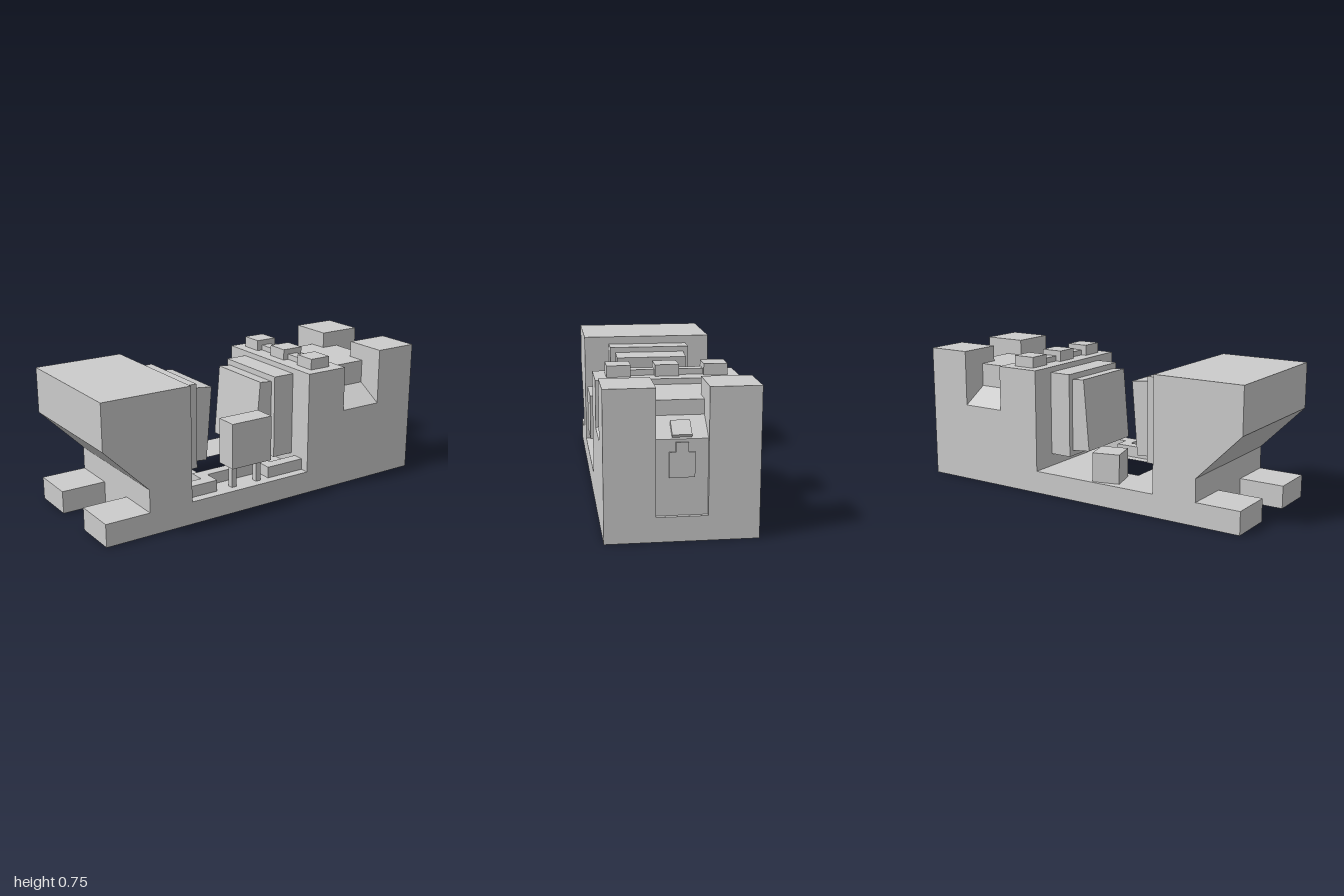
import * as THREE from 'three';

const material = new THREE.MeshStandardMaterial({ color: 0xcccccc, flatShading: true });

export function createModel() {
  const model = new THREE.Group();

  const add = (name, geometry) => {
    const mesh = new THREE.Mesh(geometry, material);
    mesh.name = name;
    model.add(mesh);
    return mesh;
  };

  const outline = (points) => new THREE.Shape(points.map(([a, b]) => new THREE.Vector2(a, b)));
  const extrude = (shape, depth) => new THREE.ExtrudeGeometry(shape, { depth, bevelEnabled: false });

  // box given by its extents
  const box = (name, x0, x1, y0, y1, z0, z1) => {
    const mesh = add(name, new THREE.BoxGeometry(x1 - x0, y1 - y0, z1 - z0));
    mesh.position.set((x0 + x1) / 2, (y0 + y1) / 2, (z0 + z1) / 2);
    return mesh;
  };

  // (x, y) profile extruded along z
  const profile = (name, points, z0, z1) =>
    add(name, extrude(outline(points), z1 - z0).translate(0, 0, z0));

  // (x, z) plan extruded upwards
  const slab = (name, points, y0, y1, hole) => {
    const flip = (list) => list.map(([x, z]) => [x, -z]);
    const shape = outline(flip(points));
    if (hole) shape.holes.push(outline(flip(hole)));
    return add(name, extrude(shape, y1 - y0).rotateX(-Math.PI / 2).translate(0, y0, 0));
  };

  // (z, y) section extruded along x
  const section = (name, points, x0, x1) =>
    add(name, extrude(outline(points.map(([z, y]) => [-z, y])), x1 - x0)
      .rotateY(Math.PI / 2).translate(x0, 0, 0));

  // floor slab with end notch and well
  slab('floor', [
    [-1, -0.375], [1, -0.375], [1, 0.375], [-1, 0.375],
    [-1, 0.125], [-0.75, 0.125], [-0.75, -0.125], [-1, -0.125],
  ], 0, 0.125, [[-0.26, -0.13], [0, -0.13], [0, 0.12], [-0.26, 0.12]]);

  // overhanging tower
  profile('overhangTower', [
    [-0.75, 0.125], [-0.5, 0.125], [-0.5, 0.75], [-1, 0.75], [-1, 0.5], [-0.75, 0.25],
  ], -0.375, 0.375);

  // stepped and leaning wall panels
  box('towerPanel', -0.5, -0.378, 0.24, 0.705, -0.235, 0.23);
  profile('towerLeaningPanel', [
    [-0.38, 0.268], [-0.3, 0.26], [-0.265, 0.663], [-0.38, 0.675],
  ], -0.205, 0.2);
  box('wallPanel', 0.125, 0.25, 0.195, 0.66, -0.235, 0.23);
  profile('wallLeaningPanel', [
    [0.015, 0.236], [0.125, 0.226], [0.125, 0.628], [0.05, 0.635],
  ], -0.205, 0.2);

  // wall with roof bar and three roof blocks
  box('wall', 0.25, 0.5, 0.125, 0.69, -0.375, 0.375);
  box('roofBar', 0.342, 0.4, 0.69, 0.72, -0.25, 0.25);
  for (const z of [-0.254, 0, 0.25]) {
    box('roofBlock', 0.31, 0.435, 0.69, 0.75, z - 0.0625, z + 0.0625);
  }

  // middle bay with sloping side recesses
  section('recessedBay', [
    [-0.375, 0.125], [0.375, 0.125], [0.375, 0.44], [0.23, 0.53],
    [0.23, 0.66], [-0.23, 0.66], [-0.23, 0.53], [-0.375, 0.44],
  ], 0.5, 0.75);

  // end pillars and the sunken panel between them
  for (const side of [-1, 1]) {
    box('endPillar', 0.75, 1, 0.125, 0.75, side < 0 ? -0.375 : 0.125, side < 0 ? -0.125 : 0.375);
  }
  profile('endPanel', [
    [0.75, 0.125], [0.98, 0.125], [0.98, 0.5], [0.855, 0.585], [0.855, 0.66], [0.75, 0.66],
  ], -0.125, 0.125);

  // plaque on the slope and stepped plate below it
  const plaque = add('slopePlaque', new THREE.BoxGeometry(0.094, 0.02, 0.095));
  plaque.position.set(0.937, 0.539, 0);
  plaque.rotation.z = -Math.atan2(0.085, 0.125);
  section('steppedPlate', [
    [-0.061, 0.315], [0.062, 0.315], [0.062, 0.438], [0.031, 0.438],
    [0.031, 0.485], [-0.03, 0.485], [-0.03, 0.438], [-0.061, 0.438],
  ], 0.978, 0.99);

  // low kerb bending around the front console
  slab('kerb', [
    [-0.5, 0.325], [-0.315, 0.325], [-0.315, 0.23], [0.018, 0.23], [0.018, 0.325], [0.25, 0.325],
    [0.25, 0.26], [0.075, 0.26], [0.075, 0.172], [-0.375, 0.172], [-0.375, 0.26], [-0.5, 0.26],
  ], 0.125, 0.188);

  // raised console on two legs
  box('console', -0.25, 0, 0.25, 0.5, 0.25, 0.375);
  for (const x of [-0.208, -0.05]) {
    box('consoleLeg', x - 0.015, x + 0.015, 0.125, 0.25, 0.295, 0.328);
  }

  // loose turned block at the back
  const crate = box('turnedBlock', -0.247, -0.097, 0.125, 0.285, -0.349, -0.199);
  crate.position.x = -0.172;
  crate.position.z = -0.273;
  crate.rotation.y = THREE.MathUtils.degToRad(15);

  return model;
}
